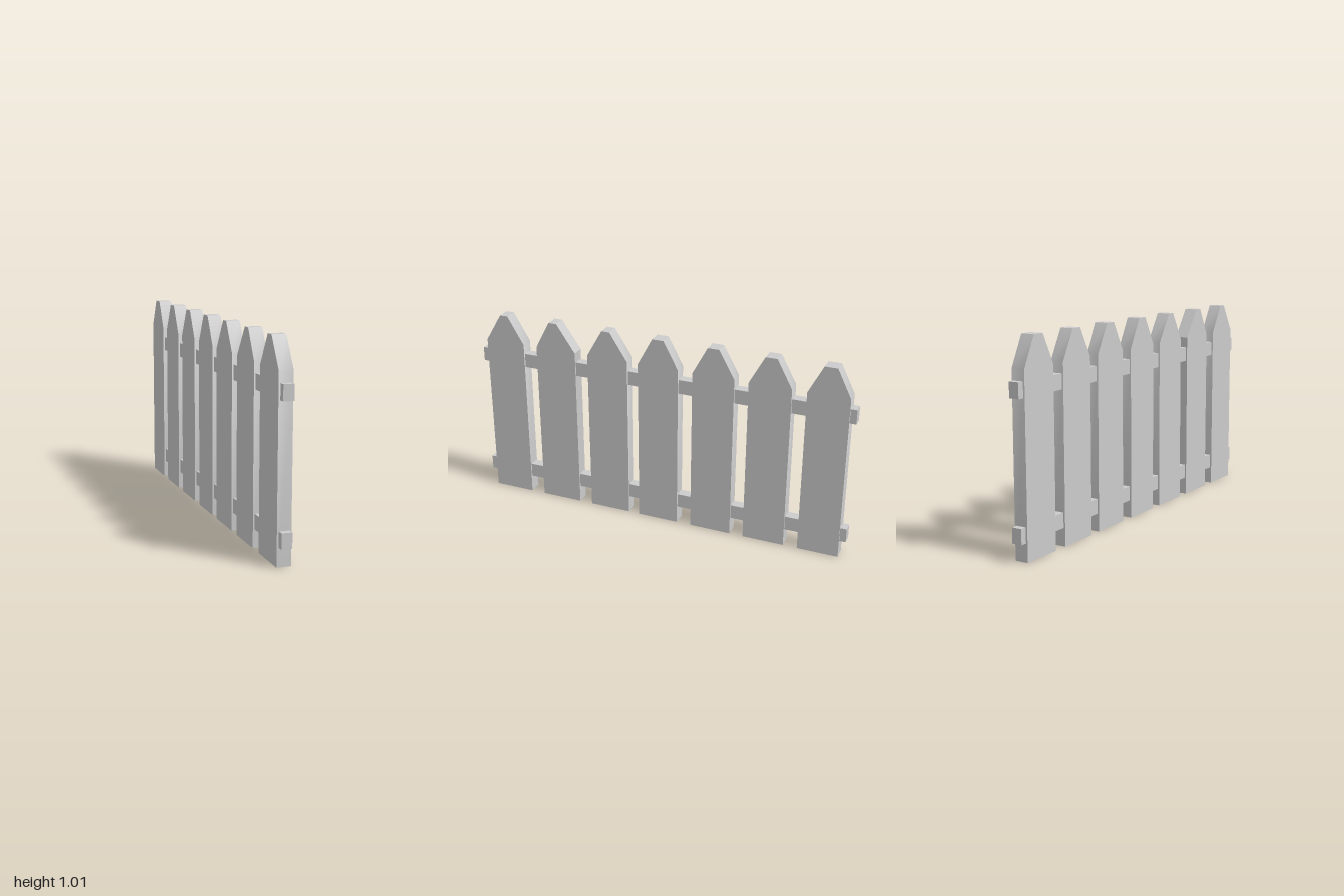
import * as THREE from 'three';
import { toCreasedNormals } from 'three/addons/utils/BufferGeometryUtils.js';

const HEIGHT = 1.01, SHOULDER = 0.866, THICK = 0.068, RAIL_LENGTH = 2;

// Upright board with a clipped point, outlined in the z-y plane
function picketGeometry(zMin, zMax, tipMin, tipMax) {
  const shape = new THREE.Shape([
    [zMin, 0], [zMax, 0], [zMax, SHOULDER], [tipMax, HEIGHT], [tipMin, HEIGHT], [zMin, SHOULDER],
  ].map(([z, y]) => new THREE.Vector2(z, y)));
  const geo = new THREE.ExtrudeGeometry(shape, { depth: THICK, bevelEnabled: false });
  geo.translate(0, 0, -THICK / 2);
  geo.rotateY(-Math.PI / 2);
  // The shoulder is soft, all other edges are sharp
  return toCreasedNormals(geo, 0.6);
}

export function createModel() {
  const fence = new THREE.Group();
  fence.name = 'picketFence';
  const material = new THREE.MeshStandardMaterial({ color: 0xcccccc });

  // Pickets, hand-cut with slightly varied tips: z range, then tip range
  const pickets = [
    [0.754, 0.968, 0.84, 0.882],
    [0.46, 0.679, 0.559, 0.602],
    [0.171, 0.39, 0.264, 0.307],
    [-0.107, 0.107, -0.03, 0.03],
    [-0.398, -0.182, -0.318, -0.259],
    [-0.685, -0.47, -0.607, -0.548],
    [-0.968, -0.758, -0.896, -0.832],
  ];
  pickets.forEach((p, i) => {
    const picket = new THREE.Mesh(picketGeometry(...p), material);
    picket.name = `picket${i + 1}`;
    fence.add(picket);
  });

  // Horizontal rails running through the pickets
  for (const [name, y] of [['lowerRail', 0.126], ['upperRail', 0.776]]) {
    const rail = new THREE.Mesh(new THREE.BoxGeometry(0.051, 0.074, RAIL_LENGTH), material);
    rail.name = name;
    rail.position.y = y;
    fence.add(rail);
  }
  return fence;
}
